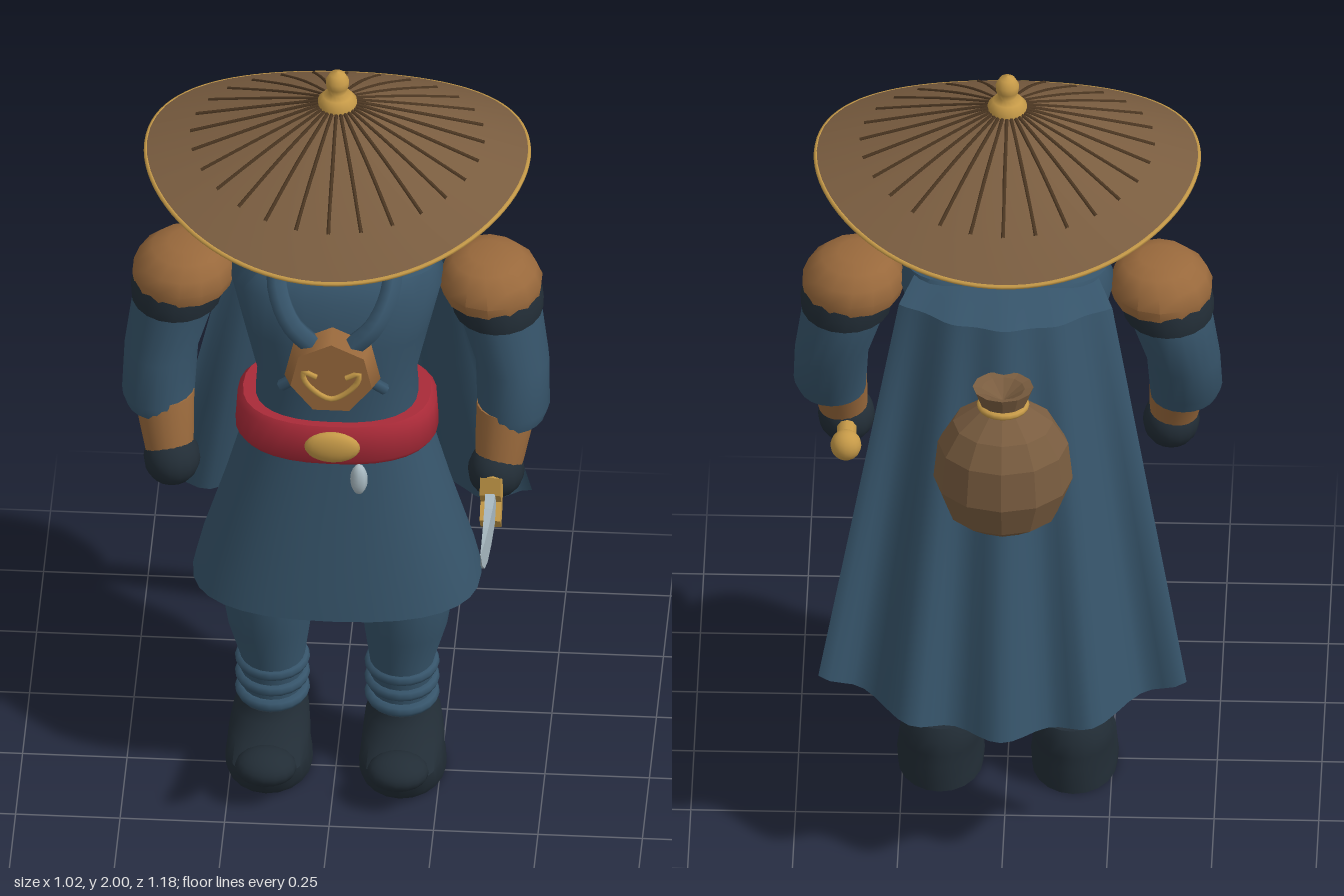
import * as THREE from 'three';
import { toCreasedNormals } from 'three/addons/utils/BufferGeometryUtils.js';
import { ParametricGeometry } from 'three/addons/geometries/ParametricGeometry.js';

const material = (name, color, side = THREE.FrontSide) => {
  const m = new THREE.MeshStandardMaterial({ color, side });
  m.name = name;
  return m;
};
const V = (x, y, z) => new THREE.Vector3(x, y, z);
const lerp = THREE.MathUtils.lerp;

// Horizontal rings [cx, cy, cz, rx, rz] from bottom to top; power squares the section, a0..a1 leaves a partial shell.
function loft(rings, { n = 20, power = 2, a0 = 0, a1 = 360, crease = 0.75 } = {}) {
  const pos = [], idx = [], full = a1 - a0 === 360, e = 2 / power;
  const bend = (v) => Math.sign(v) * Math.abs(v) ** e;
  for (const [cx, cy, cz, rx, rz] of rings) {
    for (let j = 0; j <= n; j++) {
      const a = THREE.MathUtils.degToRad(lerp(a0, a1, j / n));
      pos.push(cx + rx * bend(Math.sin(a)), cy, cz + rz * bend(Math.cos(a)));
    }
  }
  const w = n + 1, top = (rings.length - 1) * w;
  for (let i = 0; i < rings.length - 1; i++) {
    for (let j = 0; j < n; j++) {
      const a = i * w + j;
      idx.push(a, a + 1, a + w + 1, a, a + w + 1, a + w);
    }
  }
  if (full) {
    const c = pos.length / 3;
    pos.push(...rings[0].slice(0, 3), ...rings[rings.length - 1].slice(0, 3));
    for (let j = 0; j < n; j++) idx.push(c, j + 1, j, c + 1, top + j, top + j + 1);
  }
  const g = new THREE.BufferGeometry();
  g.setAttribute('position', new THREE.Float32BufferAttribute(pos, 3));
  g.setIndex(idx);
  return toCreasedNormals(g, crease);
}

const tube = (pts, r, seg = 10, closed = false, sides = 6) =>
  new THREE.TubeGeometry(new THREE.CatmullRomCurve3(pts, closed), seg, r, sides, closed);
const lathe = (pts, n) => new THREE.LatheGeometry(pts.map(([x, y]) => new THREE.Vector2(x, y)), n);

// Flat outline in (z, y), given thickness along x
function plate(pts, depth) {
  const shape = new THREE.Shape(pts.map(([z, y]) => new THREE.Vector2(z, y)));
  const g = new THREE.ExtrudeGeometry(shape, { depth, bevelEnabled: false });
  return g.translate(0, 0, -depth / 2).rotateY(-Math.PI / 2);
}

export function createModel() {
  const blue = material('blue cloth', 0x36546a, THREE.DoubleSide);
  const black = material('black cloth', 0x222d36, THREE.DoubleSide);
  const leather = material('leather', 0x99693c);
  const straw = material('straw', 0x7a5d40);
  const lining = material('hat lining', 0x846430);
  const rib = material('dark straw', 0x4c3722);
  const skin = material('skin', 0xc58c70);
  const red = material('red sash', 0xa92a38);
  const gold = material('gold', 0xc69a48);
  const steel = material('steel', 0xa9bac2);

  const model = new THREE.Group();
  model.name = 'wanderer';
  const add = (name, geo, mat, pos = [0, 0, 0]) => {
    const m = new THREE.Mesh(geo, mat);
    m.name = name;
    m.position.set(...pos);
    model.add(m);
    return m;
  };
  const ball = (name, mat, pos, r, n = 16) =>
    add(name, new THREE.SphereGeometry(1, n, 12).scale(...r), mat, pos);

  // Hat: cone whose brim dips at front and back
  const hatPoint = (a, t, drop = 0) => V(0.457 * t * Math.sin(a),
    1.92 - 0.145 * t - 0.085 * t * t * Math.cos(a) ** 2 - drop, -0.05 + 0.434 * t * Math.cos(a));
  add('hatTop', new ParametricGeometry((u, v, p) =>
    p.copy(hatPoint(u * Math.PI * 2, lerp(1, 0.02, v))), 48, 10), straw);
  add('hatLining', new ParametricGeometry((u, v, p) =>
    p.copy(hatPoint(u * Math.PI * 2, lerp(0.02, 1, v), 0.008)), 48, 10), lining);
  const rim = [];
  for (let i = 0; i < 48; i++) rim.push(hatPoint(i / 48 * Math.PI * 2, 1, 0.005));
  add('hatRim', tube(rim, 0.006, 96, true), gold);
  for (let i = 0; i < 28; i++) {
    const a = i / 28 * Math.PI * 2;
    add('hatRib', tube([0.08, 0.42, 0.77].map((t) => hatPoint(a, t)), 0.005, 6, false, 5), rib);
  }
  add('hatKnob', lathe([[0.047, 1.895], [0.047, 1.918], [0.035, 1.932], [0.02, 1.94], [0.027, 1.958],
    [0.028, 1.975], [0.018, 1.993], [0, 2]], 16), gold, [0, 0, -0.05]);

  // Head, mask and hair
  add('head', loft([[0, 1.44, -0.05, 0.08, 0.08], [0, 1.5, -0.04, 0.085, 0.095], [0, 1.55, -0.04, 0.115, 0.12],
    [0, 1.64, -0.04, 0.133, 0.135], [0, 1.73, -0.04, 0.13, 0.13], [0, 1.82, -0.04, 0.1, 0.1]], { n: 24 }), skin);
  add('mask', loft([[0, 1.485, -0.03, 0.07, 0.1], [0, 1.505, -0.035, 0.1, 0.127], [0, 1.56, -0.035, 0.13, 0.142],
    [0, 1.625, -0.04, 0.14, 0.144]], { a0: -76, a1: 76 }), black);
  add('lowerHair', loft([[0, 1.47, -0.05, 0.1, 0.115], [0, 1.5, -0.045, 0.12, 0.138], [0, 1.57, -0.04, 0.132, 0.145],
    [0, 1.61, -0.04, 0.137, 0.146]], { a0: 98, a1: 262 }), black);
  add('backHair', loft([[0, 1.6, -0.04, 0.138, 0.146], [0, 1.68, -0.04, 0.14, 0.152],
    [0, 1.73, -0.04, 0.136, 0.148]], { a0: 122, a1: 238 }), black);
  ball('nose', skin, [0, 1.635, 0.1], [0.028, 0.045, 0.03]);

  // Tunic, sash and ornaments
  add('tunic', loft([[0, 1.0, -0.045, 0.2, 0.15], [0, 1.15, -0.045, 0.19, 0.145], [0, 1.3, -0.045, 0.225, 0.165],
    [0, 1.42, -0.05, 0.255, 0.15], [0, 1.47, -0.05, 0.24, 0.12], [0, 1.49, -0.05, 0.13, 0.09]],
  { n: 32, power: 2.5 }), blue);
  add('skirt', loft([[0, 0.55, -0.045, 0.345, 0.225], [0, 0.62, -0.045, 0.328, 0.217], [0, 0.8, -0.045, 0.272, 0.19],
    [0, 1.02, -0.045, 0.21, 0.165]], { n: 32, power: 2.5 }), blue);
  add('skirtLining', loft([[0, 0.544, -0.045, 0.335, 0.215], [0, 0.552, -0.045, 0.335, 0.215]],
    { n: 32, power: 2.5 }), black);
  add('sash', loft([[0, 0.975, -0.042, 0.232, 0.17], [0, 0.99, -0.042, 0.243, 0.18], [0, 1.065, -0.042, 0.238, 0.176],
    [0, 1.08, -0.042, 0.225, 0.165]], { n: 32, power: 2.4 }), red);
  ball('buckle', gold, [0, 1.03, 0.135], [0.067, 0.042, 0.022]);
  ball('tassel', steel, [0.065, 0.95, 0.15], [0.021, 0.042, 0.02], 8);
  const medallion = add('medallion', new THREE.CylinderGeometry(0.118, 0.1, 0.05, 7).toNonIndexed(), leather,
    [0, 1.255, 0.148]);
  medallion.rotation.x = -Math.PI / 2;
  const emblem = [[-0.035, 1.262], [-0.066, 1.275], [-0.06, 1.245], [0, 1.2], [0.06, 1.245], [0.066, 1.275], [0.035, 1.262]];
  add('emblem', tube(emblem.map(([x, y]) => V(x, y, 0.175)), 0.007, 24), gold);

  // Mirrored parts
  for (const s of [-1, 1]) {
    const side = (rings) => rings.map(([x, ...rest]) => [x * s, ...rest]);
    const path = (pts) => pts.map(([x, y, z]) => V(x * s, y, z));

    ball('ear', skin, [0.147 * s, 1.635, -0.045], [0.026, 0.05, 0.034]);
    ball('eye', steel, [0.052 * s, 1.668, 0.086], [0.026, 0.012, 0.01]);
    ball('pupil', black, [0.05 * s, 1.668, 0.093], [0.01, 0.011, 0.007], 8);
    ball('brow', black, [0.058 * s, 1.7, 0.084], [0.04, 0.013, 0.018]).rotation.z = 0.2 * s;
    add('chinStrap', tube(path([[0.128, 1.76, -0.06], [0.142, 1.7, -0.045], [0.143, 1.61, -0.012]]), 0.009), straw);

    add('scarf', tube(path([[0.09, 1.5, -0.08], [0.13, 1.49, 0.0], [0.135, 1.45, 0.07], [0.1, 1.38, 0.125],
      [0.04, 1.32, 0.135]]), 0.027, 14), blue);
    add('scarfEnd', tube(path([[0.03, 1.26, 0.125], [0.125, 1.18, 0.1]]), 0.014, 4), blue);

    // Arms
    add('sleeve', loft(side([[0.42, 1.06, 0.005, 0.08, 0.09], [0.425, 1.09, 0, 0.087, 0.098], [0.42, 1.2, -0.035, 0.088, 0.112],
      [0.39, 1.33, -0.05, 0.1, 0.122], [0.37, 1.43, -0.05, 0.1, 0.11]])), blue);
    add('shoulderBand', loft(side([[0.385, 1.335, -0.05, 0.108, 0.128], [0.382, 1.365, -0.05, 0.112, 0.132],
      [0.375, 1.395, -0.05, 0.11, 0.125]])), black);
    add('shoulderPad', loft(side([[0.37, 1.38, -0.05, 0.117, 0.128], [0.368, 1.41, -0.05, 0.124, 0.135],
      [0.366, 1.445, -0.05, 0.112, 0.122], [0.36, 1.475, -0.05, 0.085, 0.092], [0.36, 1.487, -0.05, 0.045, 0.05]]),
    { n: 14 }), leather);
    add('forearm', loft(side([[0.395, 0.96, 0.06, 0.058, 0.058], [0.403, 1.03, 0.042, 0.066, 0.068],
      [0.412, 1.1, 0.015, 0.074, 0.076]])), leather);
    ball('hand', black, [0.388 * s, 0.938, 0.068], [0.068, 0.068, 0.075]);

    // Legs and boots
    add('trouserLeg', loft(side([[0.155, 0.14, -0.05, 0.072, 0.072], [0.155, 0.3, -0.045, 0.078, 0.08],
      [0.163, 0.4, -0.045, 0.1, 0.105], [0.165, 0.5, -0.045, 0.114, 0.12], [0.16, 0.62, -0.045, 0.12, 0.12]])), blue);
    for (const y of [0.195, 0.24, 0.285]) {
      const wrap = add('legWrap', new THREE.TorusGeometry(0.074, 0.016, 8, 20), blue, [0.155 * s, y, -0.047]);
      wrap.rotation.x = Math.PI / 2 + 0.08;
    }
    add('boot', loft(side([[0.16, 0, -0.015, 0.102, 0.14], [0.16, 0.03, 0.0, 0.105, 0.158], [0.16, 0.07, 0.008, 0.1, 0.165],
      [0.16, 0.1, -0.03, 0.097, 0.125], [0.158, 0.14, -0.058, 0.09, 0.098], [0.156, 0.17, -0.055, 0.078, 0.085]])), black);
    ball('bootToe', black, [0.158 * s, 0.097, 0.148], [0.074, 0.042, 0.064]);
  }

  // Curved knife held in the left hand
  const blade = plate([[0.21, 0.985], [0.3, 0.985], [0.4, 1.0], [0.5, 1.025], [0.59, 1.055], [0.55, 0.995], [0.49, 0.945],
    [0.42, 0.915], [0.33, 0.902], [0.21, 0.905]], 0.026);
  const bp = blade.attributes.position;
  for (let i = 0; i < bp.count; i++) bp.setX(i, bp.getX(i) * (0.61 - bp.getZ(i)) / 0.4);
  blade.computeVertexNormals();
  add('knifeBlade', blade, steel, [0.385, 0, 0]);
  add('knifeGuard', plate([[0.237, 1.03], [0.175, 0.985], [0.155, 0.945], [0.17, 0.905], [0.215, 0.872], [0.245, 0.91],
    [0.215, 0.945], [0.24, 0.98]].reverse(), 0.05), gold, [0.385, 0, 0]);
  add('knifeGrip', new THREE.CylinderGeometry(0.024, 0.024, 0.26, 10).rotateX(Math.PI / 2), gold, [0.385, 0.94, 0.05]);
  ball('knifePommel', gold, [0.385, 0.943, -0.075], [0.037, 0.038, 0.037]);

  // Pleated cape and the mantle joining it to the neck
  const capePoint = (s, t) => V(s * lerp(0.255, 0.44, t), lerp(1.43, 0.44 + 0.08 * s * s, t),
    lerp(-0.3 + 0.11 * s * s, -0.59 + 0.155 * s * s, t)
      + (0.012 + 0.05 * t) * (0.7 + 0.5 * Math.abs(s)) * (1 - Math.cos(4 * Math.PI * s)) / 2);
  add('cape', new ParametricGeometry((u, v, p) => p.copy(capePoint(1 - 2 * u, 1 - v)), 32, 10), blue);
  add('capeMantle', new ParametricGeometry((u, v, p) => {
    const s = 1 - 2 * u;
    p.copy(capePoint(s, 0)).lerp(V(s * 0.2, 1.485, -0.13 + 0.06 * s * s), v);
  }, 32, 3), blue);

  // Sack carried on the back
  const sack = lathe([[0, 0.935], [0.075, 0.945], [0.13, 0.985], [0.16, 1.07], [0.15, 1.17], [0.115, 1.23], [0.052, 1.28],
    [0.07, 1.33], [0.05, 1.325], [0, 1.29]], 12).toNonIndexed();
  sack.computeVertexNormals();
  add('sack', sack, straw, [0, 0, -0.385]).scale.set(1.04, 1, 0.95);
  add('sackRope', new THREE.TorusGeometry(0.054, 0.009, 8, 20).rotateX(Math.PI / 2), gold, [0, 1.28, -0.385]);

  return model;
}
